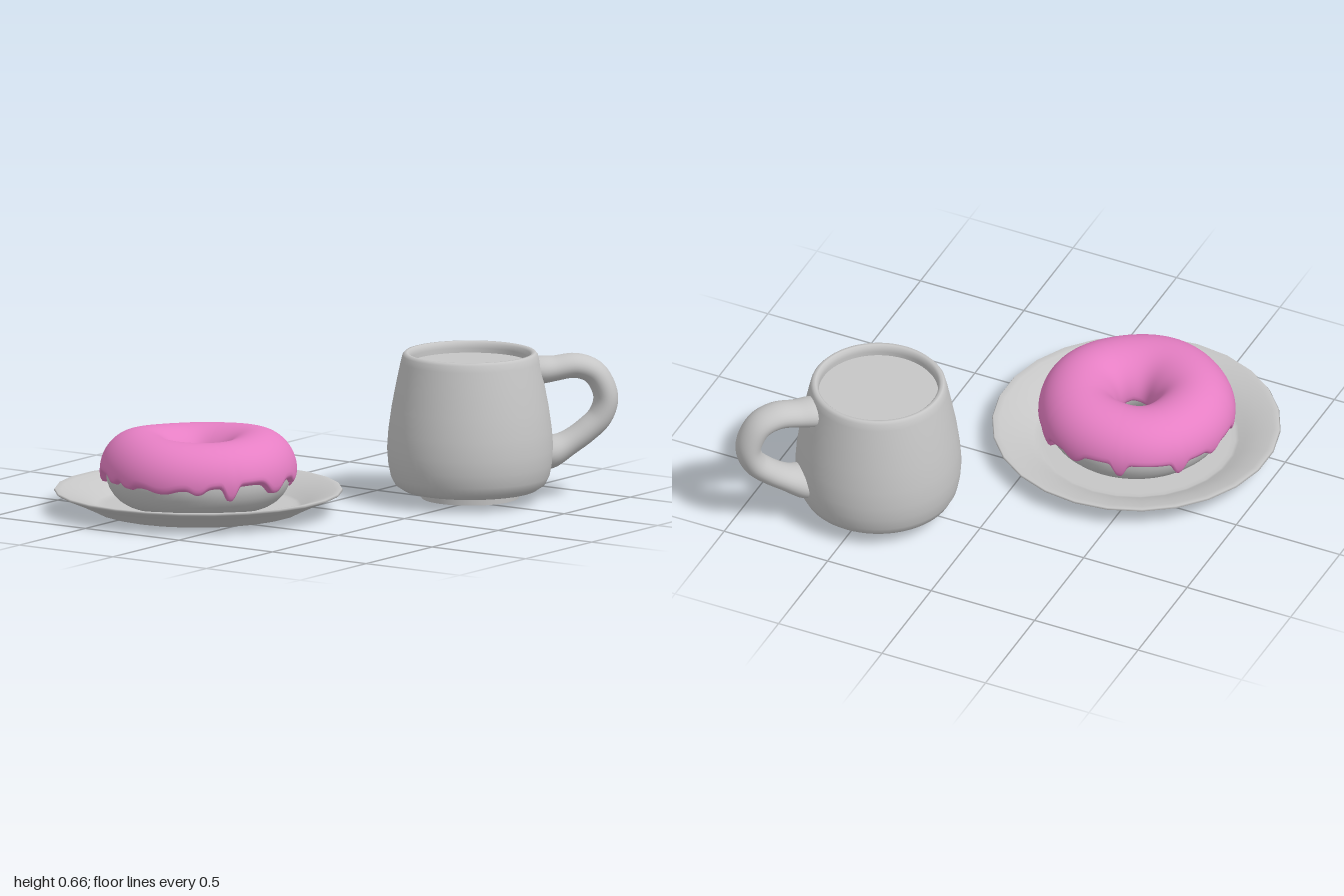
import * as THREE from 'three';

const pale = new THREE.MeshStandardMaterial({ color: 0xc6c6c6 });
pale.name = 'pale grey';
const pink = new THREE.MeshStandardMaterial({ color: 0xe67fc4, side: THREE.DoubleSide });
pink.name = 'pink icing';

function add(parent, name, geometry, material) {
  const mesh = new THREE.Mesh(geometry, material);
  mesh.name = name;
  parent.add(mesh);
  return mesh;
}

// Smooth solid of revolution; a repeated point makes a sharp edge
function lathe(points, sides) {
  return new THREE.LatheGeometry(points.map(([r, y]) => new THREE.Vector2(r, y)), sides);
}

// Grid surface from a function of (u, v); u runs around, v runs across
function surface(nu, nv, fn) {
  const positions = [], index = [];
  for (let j = 0; j <= nv; j++) {
    for (let i = 0; i < nu; i++) positions.push(...fn(i / nu, j / nv));
  }
  for (let j = 0; j < nv; j++) {
    for (let i = 0; i < nu; i++) {
      const a = j * nu + i, b = j * nu + (i + 1) % nu;
      index.push(a, b, a + nu, b, b + nu, a + nu);
    }
  }
  const g = new THREE.BufferGeometry();
  g.setAttribute('position', new THREE.Float32BufferAttribute(positions, 3));
  g.setIndex(index);
  g.computeVertexNormals();
  return g;
}

// Icing drips: direction in degrees, drop in degrees round the ring, width
const drips = [
  [2, 20, 8], [35, 25, 4], [55, 9, 5], [78, 6, 8], [102, 7, 5], [118, 8, 5],
  [150, 20, 6], [165, 15, 4], [192, 12, 5], [218, 24, 4], [255, 24, 4],
  [285, 14, 6], [312, 24, 4], [335, 8, 5],
];

function icingEdge(deg) {
  let phi = -6 + 4 * Math.sin(THREE.MathUtils.degToRad(deg * 3 + 40));
  for (const [at, drop, width] of drips) {
    const d = ((deg - at + 540) % 360) - 180;
    phi -= drop * Math.exp(-Math.pow(Math.abs(d / width), 2.6));
  }
  return phi;
}

function icingPoint(u, v) {
  const deg = u * 360, a = THREE.MathUtils.degToRad(deg);
  const inner = 197 + 5 * Math.sin(a * 4 + 1);
  const phi = THREE.MathUtils.degToRad(THREE.MathUtils.lerp(inner, icingEdge(deg), v));
  // Rounded lips at both borders sink into the dough
  const lip = Math.min(1, Math.min(v, 1 - v) / 0.05);
  const r = 0.145 + 0.028 * Math.sqrt(1 - (1 - lip) ** 2);
  const R = 0.258 + 0.003 * Math.sin(a * 5);
  const wave = 0.008 * Math.cos(a * 2 + 1.57) * Math.max(0, Math.sin(phi));
  const d = R + r * Math.cos(phi);
  return [d * Math.cos(a), 0.178 + r * Math.sin(phi) + wave, d * Math.sin(a)];
}

function makePlate() {
  const profile = [
    [0, 0], [0.405, 0], [0.43, 0.002], [0.455, 0.009], [0.49, 0.027], [0.56, 0.06],
    [0.622, 0.086], [0.632, 0.093], [0.627, 0.1], [0.6, 0.097], [0.54, 0.078],
    [0.48, 0.05], [0.45, 0.03], [0.435, 0.025], [0.41, 0.024], [0, 0.024],
  ];
  return lathe(profile, 26);
}

// Handle: an oval section swept along a curve in the x-y plane
function makeHandle() {
  const path = new THREE.CatmullRomCurve3([
    [0.26, 0.57], [0.36, 0.577], [0.47, 0.588], [0.55, 0.553], [0.598, 0.45],
    [0.575, 0.365], [0.51, 0.3], [0.42, 0.24], [0.31, 0.19],
  ].map(([x, y]) => new THREE.Vector3(x, y, 0)));
  return surface(28, 60, (u, v) => {
    const p = path.getPointAt(v), t = path.getTangentAt(v), a = u * Math.PI * 2;
    const flare = 1 + 0.12 * Math.exp(-(((v - 0.06) / 0.06) ** 2))
      + 0.3 * Math.exp(-(((v - 0.95) / 0.08) ** 2));
    const thick = 0.054 * flare * Math.cos(a), wide = 0.073 * flare * Math.sin(a);
    return [p.x - t.y * thick, p.y + t.x * thick, wide];
  });
}

export function createModel() {
  const model = new THREE.Group();
  model.name = 'doughnutAndMug';

  // Plate with a ring doughnut
  const snack = new THREE.Group();
  snack.name = 'snack';
  snack.position.set(-0.347, 0, 0.36);
  model.add(snack);
  add(snack, 'plate', makePlate(), pale);
  const dough = new THREE.TorusGeometry(0.253, 0.152, 28, 64);
  dough.rotateX(Math.PI / 2);
  add(snack, 'dough', dough, pale).position.y = 0.174;
  add(snack, 'icing', surface(288, 44, icingPoint), pink);

  // Mug with its foot, drink and handle
  const mug = new THREE.Group();
  mug.name = 'mug';
  mug.position.set(0.48, 0, -0.525);
  model.add(mug);
  const body = [
    [0, 0.048], [0.25, 0.048], [0.295, 0.056], [0.328, 0.078], [0.347, 0.115],
    [0.358, 0.17], [0.363, 0.235], [0.357, 0.32], [0.343, 0.42], [0.322, 0.53],
    [0.303, 0.62], [0.296, 0.648], [0.286, 0.66], [0.274, 0.66], [0.264, 0.65],
    [0.26, 0.63], [0.264, 0.58],
  ];
  add(mug, 'mugBody', lathe(body, 64), pale);
  add(mug, 'foot', new THREE.CylinderGeometry(0.216, 0.212, 0.04, 64), pale).position.y = 0.036;
  const drink = new THREE.CircleGeometry(0.264, 64);
  drink.rotateX(-Math.PI / 2);
  add(mug, 'drink', drink, pale).position.y = 0.61;
  add(mug, 'handle', makeHandle(), pale).rotation.y = THREE.MathUtils.degToRad(43.5);

  return model;
}
